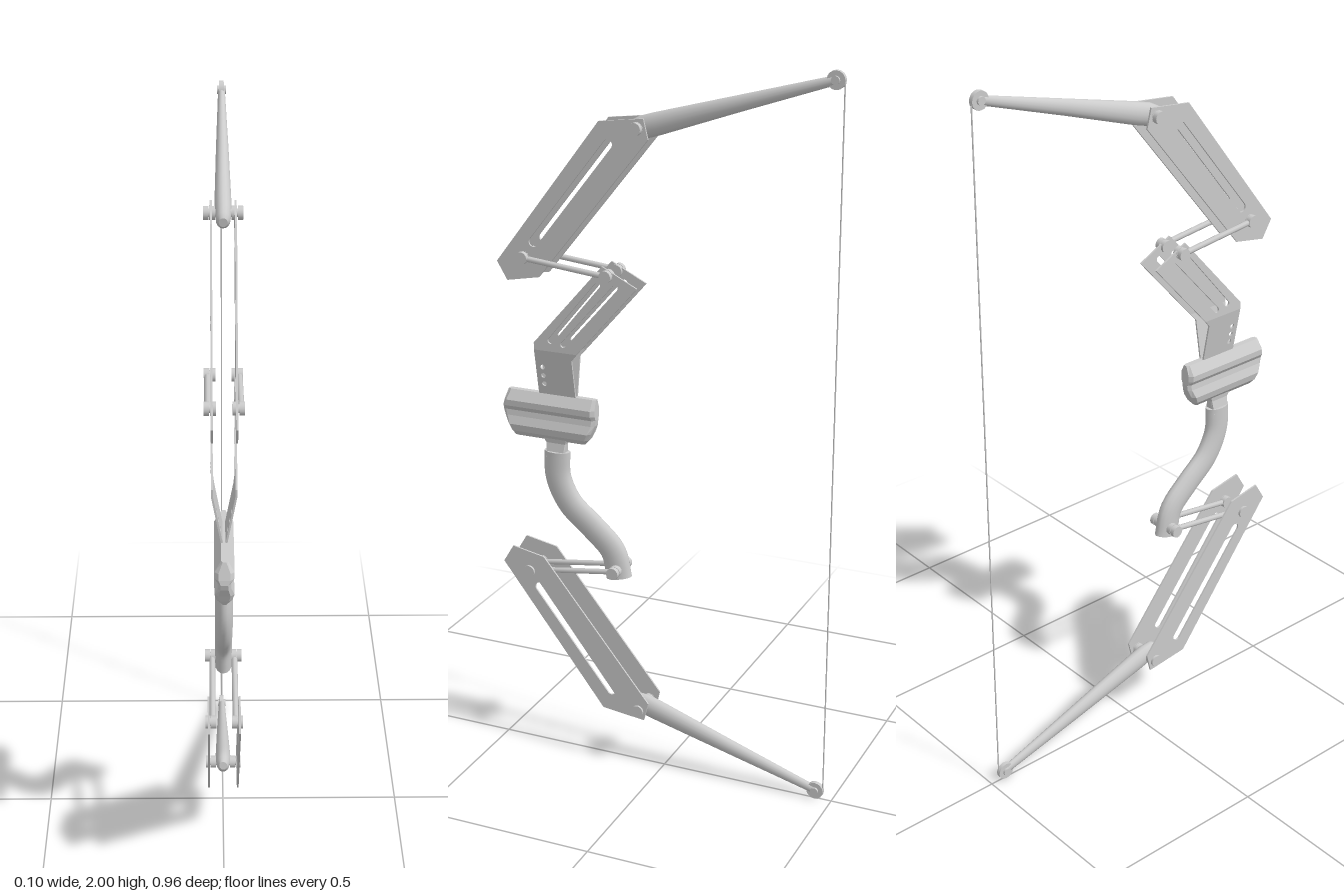
import * as THREE from 'three';

const grey = new THREE.MeshStandardMaterial({ color: 0xcccccc });
const greyFlat = new THREE.MeshStandardMaterial({ color: 0xcccccc, flatShading: true });

// Outlines and paths are given as [z, y] in the side plane.
const ROUND = Array.from({ length: 16 }, (_, i) => {
  const t = (i / 16) * Math.PI * 2;
  return [Math.cos(t), Math.sin(t)];
});
const CHAMFERED = [[1, -0.93], [1, 0.93], [0.6, 1], [-0.6, 1], [-1, 0.93], [-1, -0.93], [-0.6, -1], [0.6, -1]];

function add(parent, name, geometry, material = grey) {
  const mesh = new THREE.Mesh(geometry, material);
  mesh.name = name;
  parent.add(mesh);
  return mesh;
}

// Sweep a profile through sections [z, y, halfWidthX, halfDepth]; "upright" keeps every section level.
function loft(sections, profile, upright = false) {
  const n = profile.length, pos = [], index = [];
  const rings = sections.map(([z, y, hx, hn], i) => {
    const a = sections[Math.max(i - 1, 0)], b = sections[Math.min(i + 1, sections.length - 1)];
    const len = Math.hypot(b[0] - a[0], b[1] - a[1]);
    const dz = upright ? 0 : (b[0] - a[0]) / len;
    const dy = upright ? Math.sign(b[1] - a[1]) : (b[1] - a[1]) / len;
    return profile.map(([u, v]) => [u * hx, y + v * hn * dz, z - v * hn * dy]);
  });
  rings.forEach((ring) => ring.forEach((p) => pos.push(...p)));
  for (let i = 0; i < rings.length - 1; i++) {
    for (let j = 0; j < n; j++) {
      const a = i * n + j, b = i * n + ((j + 1) % n);
      index.push(a, b, b + n, a, b + n, a + n);
    }
  }
  // end caps with their own vertices
  [rings[0], rings[rings.length - 1]].forEach((ring, end) => {
    const s = pos.length / 3;
    ring.forEach((p) => pos.push(...p));
    for (let j = 1; j < n - 1; j++) index.push(s, s + (end ? j : j + 1), s + (end ? j + 1 : j));
  });
  const g = new THREE.BufferGeometry();
  g.setAttribute('position', new THREE.Float32BufferAttribute(pos, 3));
  g.setIndex(index);
  g.computeVertexNormals();
  return g;
}

// Round-ended slot between two points
function slot([z1, y1], [z2, y2], r) {
  const t = Math.atan2(y2 - y1, z2 - z1), path = new THREE.Path();
  path.absarc(z1, y1, r, t + Math.PI / 2, t + Math.PI * 1.5);
  path.absarc(z2, y2, r, t - Math.PI / 2, t + Math.PI / 2);
  path.closePath();
  return path;
}

// Thin side plate centred on x = 0
function plate(outline, holes, thickness = 0.005) {
  const shape = new THREE.Shape(outline.map(([z, y]) => new THREE.Vector2(z, y)));
  shape.holes.push(...holes);
  const g = new THREE.ExtrudeGeometry(shape, { depth: thickness, bevelEnabled: false, curveSegments: 6 });
  return g.translate(0, 0, -thickness / 2).rotateY(-Math.PI / 2);
}

// Cylinder along x between two x values
function pin(r, x1, x2, [z, y]) {
  return new THREE.CylinderGeometry(r, r, x2 - x1, 16).rotateZ(Math.PI / 2).translate((x1 + x2) / 2, y, z);
}

function rod([z1, y1], [z2, y2], x, r) {
  return new THREE.TubeGeometry(
    new THREE.LineCurve3(new THREE.Vector3(x, y1, z1), new THREE.Vector3(x, y2, z2)), 1, r, 8);
}

// Bolt made of an inner collar and an outer head on each side
function sideBolts(parent, name, at, r = 0.017) {
  for (const s of [-1, 1]) {
    for (const [a, b] of [[0.02, 0.034], [0.036, 0.049]]) {
      add(parent, name, pin(r, Math.min(s * a, s * b), Math.max(s * a, s * b), at));
    }
    add(parent, name + 'Shank', pin(r * 0.6, s > 0 ? 0.02 : -0.048, s > 0 ? 0.048 : -0.02, at));
  }
}

// One bow arm: slotted plates, tapered limb, tip wheel and link rods
function makeArm(upper) {
  const arm = new THREE.Group();
  arm.name = upper ? 'upperArm' : 'lowerArm';
  const m = ([z, y, ...rest]) => [z, upper ? y : 2.002 - y, ...rest];
  const plateX = upper ? 0.03 : 0.04, rodX = upper ? 0.04 : 0.03;
  const outline = [[0.17, 1.833], [0.045, 1.848], [0.032, 1.795], [0.35, 1.403], [0.445, 1.385], [0.475, 1.435]];
  const inner = upper ? [0.15, 1.428] : [0.137, 0.587];
  const outer = m([0.395, 1.453]);

  for (const s of [-1, 1]) {
    const hole = slot(m([0.145, 1.775]), m([0.365, 1.497]), 0.013);
    add(arm, 'slottedPlate', plate(outline.map(m), [hole]).translate(s * plateX, 0, 0));
    add(arm, 'linkRod', rod(outer, inner, s * rodX, 0.008));
  }
  const limb = [
    [0.1, 1.81, 0.011, 0.012], [0.088, 1.812, 0.018, 0.024], [0.06, 1.82, 0.021, 0.03],
    [0.02, 1.832, 0.021, 0.03], [-0.2, 1.899, 0.016, 0.021], [-0.45, 1.974, 0.009, 0.012],
  ];
  add(arm, 'limb', loft(limb.map(m), ROUND));
  add(arm, 'tipWheel', pin(0.024, -0.006, 0.006, m([-0.453, 1.975])));
  add(arm, 'tipPin', pin(0.011, -0.012, 0.012, m([-0.453, 1.975])));
  sideBolts(arm, 'limbBolt', m([0.063, 1.822]));
  add(arm, 'limbAxle', pin(0.01, -0.04, 0.04, m([0.063, 1.822])));
  sideBolts(arm, 'plateBolt', outer);
  sideBolts(arm, 'linkBolt', inner);
  return arm;
}

// Upper riser: two plates that spread from the grip, then run parallel
function makeRiser() {
  const riser = new THREE.Group();
  riser.name = 'riser';
  const foot = [[0.37, 1.055], [0.26, 1.055], [0.26, 1.18], [0.243, 1.2], [0.37, 1.2]];
  const fork = [[0.37, 1.2], [0.243, 1.2], [0.065, 1.402], [0.165, 1.452], [0.37, 1.22]];
  for (const s of [-1, 1]) {
    const holes = [1.15, 1.125, 1.1].map((y) => new THREE.Path().absarc(0.35, y, 0.007, 0, Math.PI * 2));
    const g = plate(foot, holes);
    const p = g.attributes.position;
    for (let i = 0; i < p.count; i++) {
      p.setX(i, p.getX(i) + s * THREE.MathUtils.mapLinear(p.getY(i), 1.055, 1.2, 0.003, 0.03));
    }
    g.computeVertexNormals();
    add(riser, 'riserFoot', g);
    const slots = [slot([0.32, 1.23], [0.178, 1.4], 0.008), slot([0.282, 1.223], [0.127, 1.398], 0.008)];
    add(riser, 'riserFork', plate(fork, slots).translate(s * 0.03, 0, 0));
  }
  return riser;
}

export function createModel() {
  const model = new THREE.Group();
  model.name = 'bow';
  model.add(makeArm(true), makeArm(false), makeRiser());

  // Grip block with two bulges and a groove: [y, front z, back z, half width]
  const rows = [
    [0.938, 0.447, 0.235, 0.008], [0.953, 0.455, 0.222, 0.02], [0.973, 0.464, 0.212, 0.025],
    [0.996, 0.475, 0.202, 0.017], [1.012, 0.48, 0.2, 0.015], [1.025, 0.478, 0.2, 0.024],
    [1.042, 0.473, 0.2, 0.025], [1.07, 0.465, 0.2, 0.008],
  ];
  add(model, 'grip', loft(rows.map(([y, f, b, w]) => [(f + b) / 2, y, w, (f - b) / 2]), CHAMFERED, true), greyFlat);

  // Neck below the grip
  add(model, 'neck', loft([[0.322, 0.89, 0.018, 0.026], [0.322, 0.93, 0.01, 0.03], [0.325, 0.96, 0.014, 0.045]], CHAMFERED, true), greyFlat);

  // Curved lower riser
  const curve = new THREE.CatmullRomCurve3(
    [[0.322, 0.906], [0.32, 0.83], [0.285, 0.757], [0.215, 0.695], [0.155, 0.635], [0.137, 0.56]]
      .map(([z, y]) => new THREE.Vector3(0, y, z)));
  add(model, 'lowerRiser', loft(curve.getPoints(24).map((p) => [p.z, p.y, 0.023, 0.038]), ROUND));
  add(model, 'lowerRiserAxle', pin(0.01, -0.045, 0.045, [0.137, 0.587]));

  // Bowstring
  add(model, 'string', new THREE.CylinderGeometry(0.002, 0.002, 1.948, 8).translate(0, 1.001, -0.475));
  return model;
}
